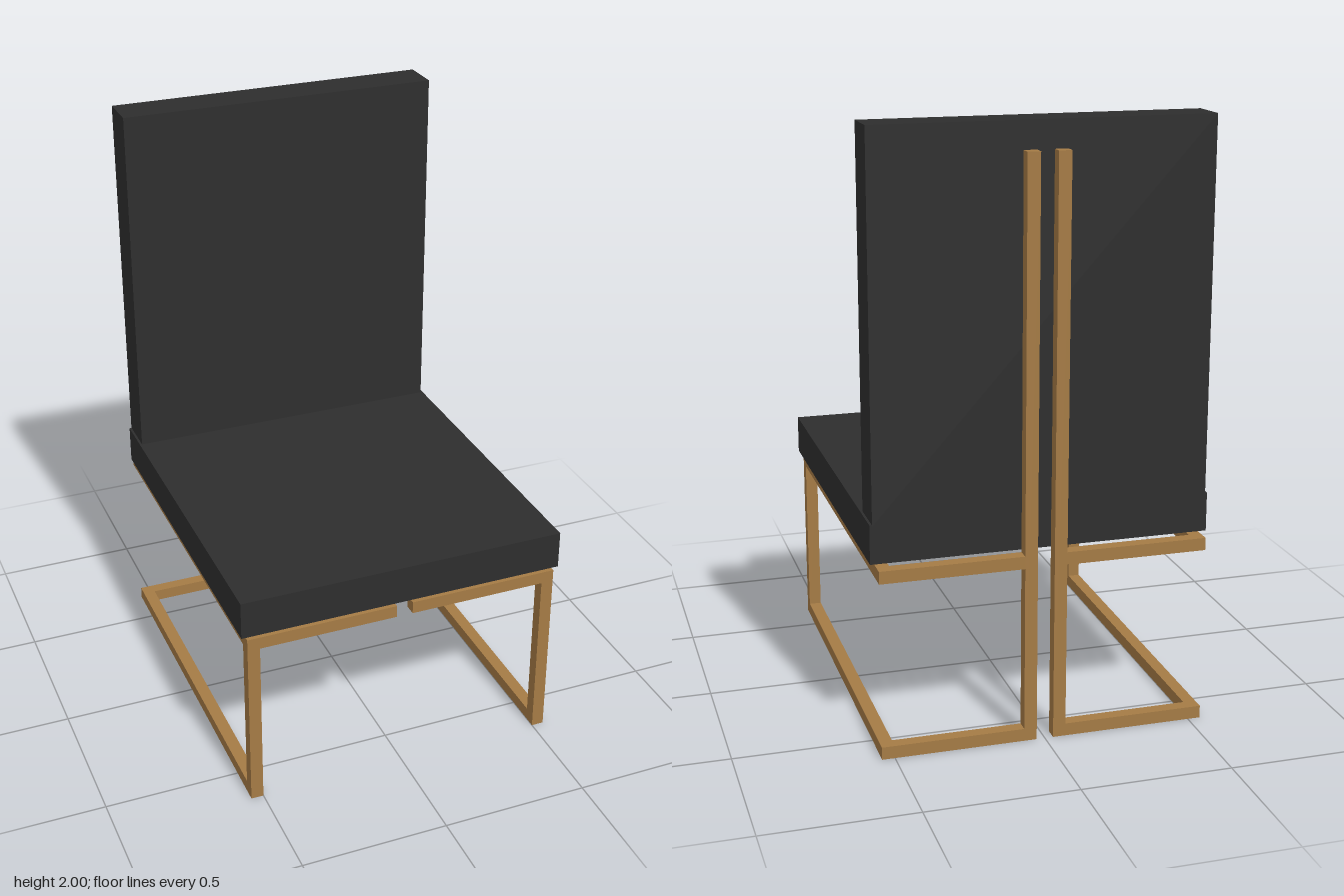
import * as THREE from 'three';

export function createModel() {
  const model = new THREE.Group();
  model.name = 'chair';

  const wood = new THREE.MeshStandardMaterial({ color: 0xa57b45 });
  wood.name = 'golden brown frame';
  const upholstery = new THREE.MeshStandardMaterial({ color: 0x2e2e2e });
  upholstery.name = 'charcoal upholstery';

  // Box given by its minimum and maximum corners
  function box(name, material, min, max, parent) {
    const size = max.map((v, i) => v - min[i]);
    const mesh = new THREE.Mesh(new THREE.BoxGeometry(...size), material);
    mesh.position.set(...max.map((v, i) => (v + min[i]) / 2));
    mesh.name = name;
    parent.add(mesh);
  }

  // Cushions
  box('seat', upholstery, [-0.56, 0.645, -0.597], [0.56, 0.775, 0.637], model);
  box('backrest', upholstery, [-0.552, 0.77, -0.6], [0.552, 2, -0.462], model);

  // Square-bar frame, one half on each side
  const T = 0.042;          // bar thickness
  const IN = 0.028, OUT = 0.542; // inner and outer x
  const Z = 0.64;           // half depth
  const TOP = 0.636;        // top of the seat rails

  for (const side of [1, -1]) {
    const frame = new THREE.Group();
    frame.name = side > 0 ? 'leftFrame' : 'rightFrame';
    model.add(frame);

    const bar = (name, [x0, x1], y, z) => {
      const xs = [side * x0, side * x1].sort((a, b) => a - b);
      box(name, wood, [xs[0], y[0], z[0]], [xs[1], y[1], z[1]], frame);
    };

    const front = [Z - T, Z], back = [-Z, -Z + T];
    const outer = [OUT - T, OUT], low = [0, T], high = [TOP - T, TOP];

    bar('frontLeg', outer, [0, TOP - T], front);
    bar('floorSideRail', outer, low, [-Z + T, Z - T]);
    bar('floorBackRail', [IN + T, OUT], low, back);
    bar('backUpright', [IN, IN + T], [0, 1.91], back);
    bar('seatSideRail', outer, high, [-Z + T, Z - T]);
    bar('seatBackRail', [IN + T, OUT], high, back);
    bar('seatFrontRail', [IN, OUT], high, front);
  }

  return model;
}
